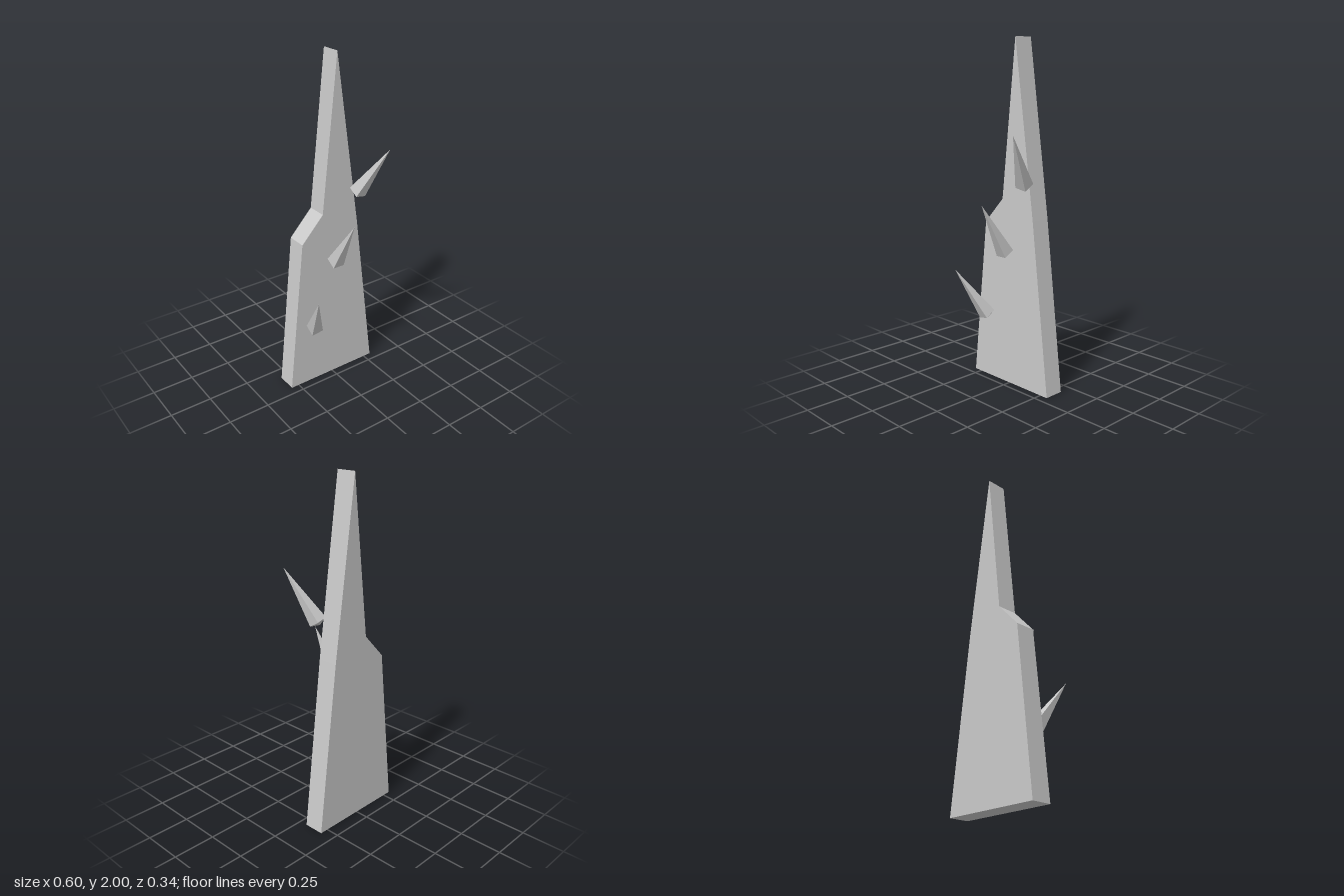
import * as THREE from 'three';

export function createModel() {
  const group = new THREE.Group();
  const grey = new THREE.MeshStandardMaterial({ color: 0xc8c8c8, flatShading: true });
  grey.name = 'light grey';

  // Flat jagged slab standing upright
  const outline = new THREE.Shape([
    [-0.3, 0], [0.3, 0], [0.18, 1], [0.04, 2], [-0.06, 1.1], [-0.2, 0.95],
  ].map(([x, y]) => new THREE.Vector2(x, y)));
  const slab = new THREE.Mesh(
    new THREE.ExtrudeGeometry(outline, { depth: 0.12, bevelEnabled: false }), grey);
  slab.name = 'slab';
  slab.position.z = -0.17;
  group.add(slab);

  // Four-sided spikes with a shallow pointed base, leaning forward in front of the slab
  const profile = [[0, -0.02], [0.05, 0], [0, 0.345]].map(([r, y]) => new THREE.Vector2(r, y));
  const spikeGeometry = new THREE.LatheGeometry(profile, 4, Math.PI / 4);
  const spikes = [
    ['lowerSpike', -0.152, 0.4, 0.25],
    ['middleSpike', 0, 0.798, 0],
    ['upperSpike', 0.152, 1.2, -0.25],
  ];
  for (const [name, x, y, lean] of spikes) {
    const spike = new THREE.Mesh(spikeGeometry, grey);
    spike.name = name;
    spike.position.set(x, y, -0.011);
    spike.rotation.set(0.54, 0, lean);
    group.add(spike);
  }
  return group;
}
